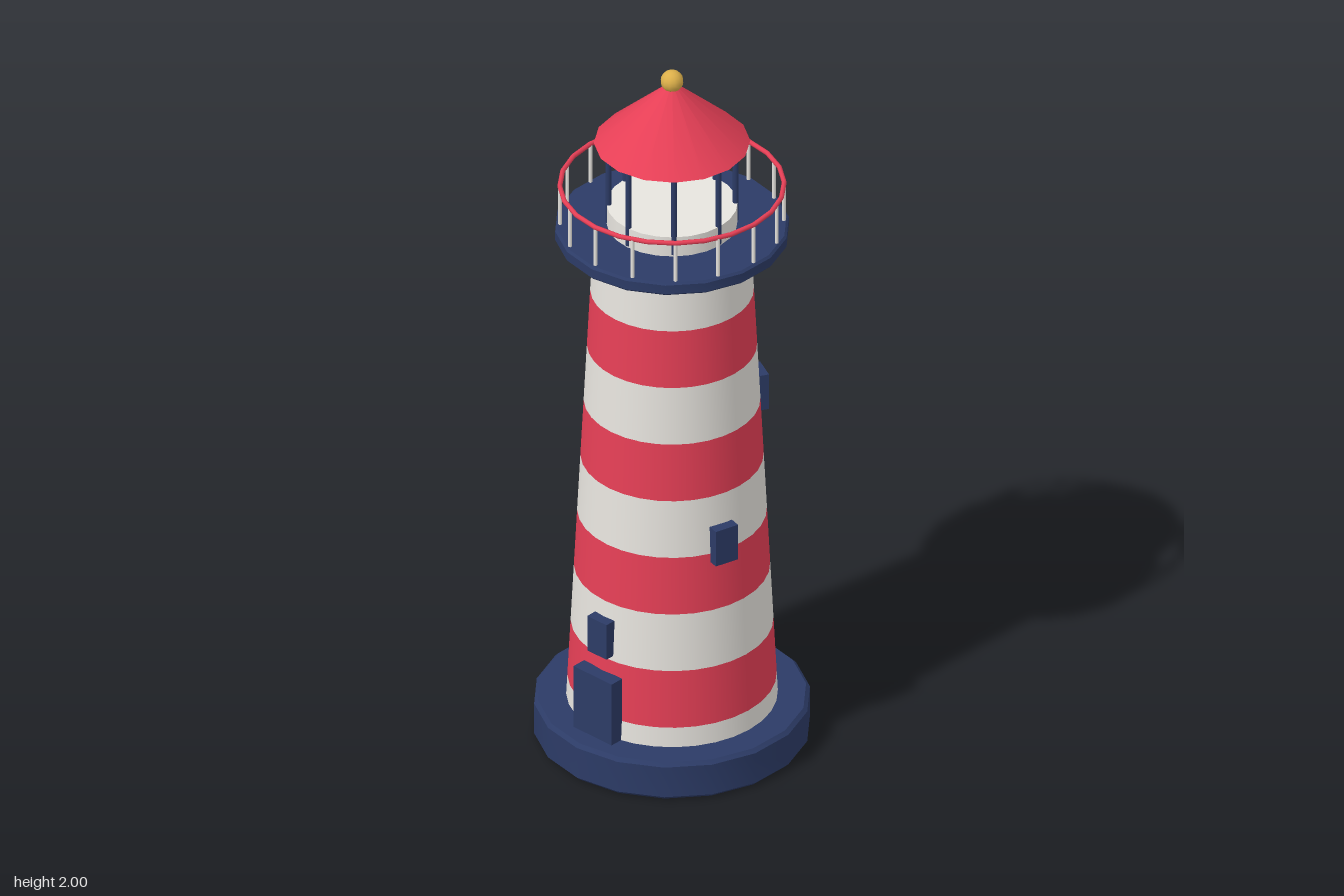
import * as THREE from 'three';
import { toCreasedNormals } from 'three/addons/utils/BufferGeometryUtils.js';

const mat = (name, color) => {
  const m = new THREE.MeshStandardMaterial({ color });
  m.name = name;
  return m;
};

export function createModel() {
  const white = mat('white', 0xf0ede7);
  const red = mat('red', 0xe63f56);
  const navy = mat('navy', 0x2c3b66);
  const gold = mat('gold', 0xddb04a);

  const model = new THREE.Group();
  model.name = 'lighthouse';

  const add = (name, geometry, material, x = 0, y = 0, z = 0, parent = model) => {
    const mesh = new THREE.Mesh(geometry, material);
    mesh.name = name;
    mesh.position.set(x, y, z);
    parent.add(mesh);
    return mesh;
  };
  const group = (name) => {
    const g = new THREE.Group();
    g.name = name;
    model.add(g);
    return g;
  };

  // Eighteen-sided disc with a small bevel on both rims
  const disc = (radius, y0, y1, bevel) => {
    const profile = [
      [0, y0], [radius - bevel, y0], [radius, y0 + bevel],
      [radius, y1 - bevel], [radius - bevel, y1], [0, y1],
    ].map(([r, y]) => new THREE.Vector2(r, y));
    return toCreasedNormals(new THREE.LatheGeometry(profile, 18), 0.6);
  };

  // Ring of upright posts
  const postRing = (name, count, ring, radius, y0, y1, material) => {
    const g = group(name + 's');
    const geometry = new THREE.CylinderGeometry(radius, radius, y1 - y0, 8);
    for (let i = 0; i < count; i++) {
      const a = (i / count) * Math.PI * 2;
      add(name, geometry, material, Math.sin(a) * ring, (y0 + y1) / 2, Math.cos(a) * ring, g);
    }
  };

  add('base', disc(0.36, 0, 0.11, 0.01), navy);

  // Tapered tower in nine alternating bands
  const towerTop = 1.505;
  const towerRadius = (y) => 0.28 - (0.076 * y) / towerTop;
  const tower = group('tower');
  const bands = 9;
  for (let i = 0; i < bands; i++) {
    const y0 = i === 0 ? 0.02 : (i * towerTop) / bands;
    const y1 = ((i + 1) * towerTop) / bands;
    const geometry = new THREE.CylinderGeometry(
      towerRadius(y1), towerRadius(y0), y1 - y0, 32, 1, true);
    add('towerBand', geometry, i % 2 ? red : white, 0, (y0 + y1) / 2, 0, tower);
  }

  // Door, and windows climbing round the tower
  add('door', new THREE.BoxGeometry(0.135, 0.195, 0.04), navy, 0, 0.1975, 0.281);
  const windows = group('windows');
  const pane = new THREE.BoxGeometry(0.068, 0.105, 0.03);
  [0, 75, 153, 226].forEach((degrees, i) => {
    const a = THREE.MathUtils.degToRad(degrees);
    const y = 0.402 + i * 0.294;
    const r = towerRadius(y) + 0.01;
    add('window', pane, navy, Math.sin(a) * r, y, Math.cos(a) * r, windows).rotation.y = a;
  });

  // Gallery with railing
  add('gallery', disc(0.305, 1.502, 1.54, 0.006), navy);
  postRing('baluster', 16, 0.29, 0.005, 1.535, 1.655, white);
  add('handrail', new THREE.TorusGeometry(0.291, 0.0065, 8, 24), red, 0, 1.655, 0).rotation.x = Math.PI / 2;

  // Lantern room
  add('lanternWall', new THREE.CylinderGeometry(0.17, 0.17, 0.06, 24), white, 0, 1.568, 0);
  postRing('lanternPost', 8, 0.165, 0.008, 1.545, 1.795, navy);

  // Roof and finial
  add('roof', new THREE.ConeGeometry(0.203, 0.185, 16), red, 0, 1.8775, 0);
  add('finial', new THREE.SphereGeometry(0.03, 12, 10), gold, 0, 1.97, 0);

  return model;
}
